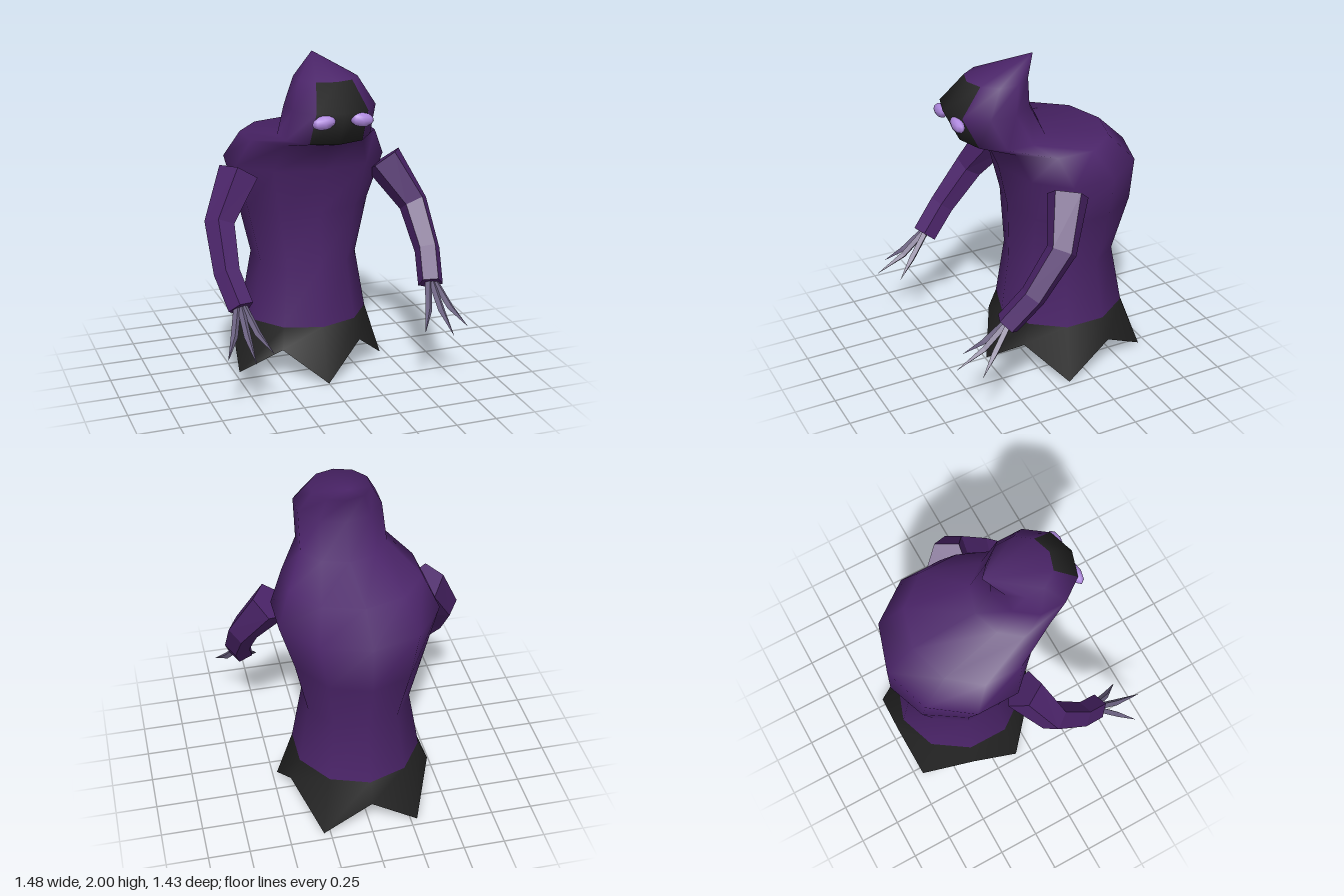
import * as THREE from 'three';

const SIDES = 10;
const mat = (name, color) => {
  const m = new THREE.MeshStandardMaterial({ color });
  m.name = name;
  return m;
};

// Robe cross-sections: height, half width radius, centre z, front z, back z
const RINGS = [
  [0.33, 0.39, -0.25, 0.13, -0.67],
  [0.70, 0.325, -0.25, 0.08, -0.60],
  [1.05, 0.405, -0.25, 0.085, -0.705],
  [1.33, 0.494, -0.22, 0.145, -0.705],
  [1.50, 0.41, -0.16, 0.22, -0.53],
  [1.55, 0.272, 0.13, 0.39, -0.13],
  [1.75, 0.263, 0.23, 0.49, -0.03],
  [1.90, 0.184, 0.155, 0.34, -0.03],
];

function ringPoint([y, rx, zc, front, back], k) {
  const a = (k % SIDES) * Math.PI * 2 / SIDES;
  const c = Math.cos(a);
  return [rx * Math.sin(a), y, zc + c * (c > 0 ? front - zc : zc - back)];
}

function geometryFrom(positions, index) {
  const g = new THREE.BufferGeometry();
  g.setAttribute('position', new THREE.Float32BufferAttribute(positions, 3));
  if (index) g.setIndex(index);
  g.computeVertexNormals();
  return g;
}

// Smooth robe and hood; the two front columns of the hood are the dark face
function robeGeometry() {
  const pos = [], cloth = [], face = [];
  for (const r of RINGS) for (let k = 0; k < SIDES; k++) pos.push(...ringPoint(r, k));
  const last = RINGS.length - 1;
  for (let i = 0; i < last; i++) {
    for (let k = 0; k < SIDES; k++) {
      const n = (k + 1) % SIDES, a = i * SIDES, b = a + SIDES;
      const isFace = i >= 5 && (k === 0 || k === SIDES - 1);
      (isFace ? face : cloth).push(a + k, a + n, b + n, a + k, b + n, b + k);
    }
  }
  // Pointed hood tip
  const tip = pos.length / 3;
  pos.push(0, 2, -0.08);
  for (let k = 0; k < SIDES; k++) {
    cloth.push(last * SIDES + k, last * SIDES + (k + 1) % SIDES, tip);
  }
  const g = geometryFrom(pos, [...cloth, ...face]);
  g.addGroup(0, cloth.length, 0);
  g.addGroup(cloth.length, face.length, 1);
  return g;
}

// Flat underside of the robe
function undersideGeometry() {
  const pos = [];
  for (let k = 0; k < SIDES; k++) {
    pos.push(0, 0.33, -0.26, ...ringPoint(RINGS[0], k + 1), ...ringPoint(RINGS[0], k));
  }
  return geometryFrom(pos);
}

// Ragged hem: alternating tips and notches from front to back, mirrored
function hemGeometry() {
  const half = [
    [0, 0, 0.24], [0.25, 0.2, 0.1], [0.47, 0, -0.1],
    [0.43, 0.2, -0.39], [0.29, 0, -0.7], [0, 0.2, -0.72],
  ];
  const pos = [], index = [];
  for (let k = 0; k < SIDES; k++) {
    const [x, y, z] = half[k <= 5 ? k : SIDES - k];
    pos.push(k <= 5 ? x : -x, y, z);
  }
  for (let k = 0; k < SIDES; k++) pos.push(...ringPoint(RINGS[0], k));
  for (let k = 0; k < SIDES; k++) {
    const n = (k + 1) % SIDES;
    index.push(k, n, SIDES + n, k, SIDES + n, SIDES + k);
  }
  return geometryFrom(pos, index);
}

// Faceted tapering limb along [x, y, z, radius] stations, closed at both ends
function limbGeometry(stations, sides, mirror) {
  const pts = stations.map(([x, y, z]) => new THREE.Vector3(x * mirror, y, z));
  const rings = pts.map((p, i) => {
    const t = pts[Math.min(i + 1, pts.length - 1)].clone()
      .sub(pts[Math.max(i - 1, 0)]).normalize();
    const u = new THREE.Vector3(mirror, 0, 0);
    u.addScaledVector(t, -u.dot(t)).normalize();
    const v = t.clone().cross(u);
    return Array.from({ length: sides }, (_, k) => {
      const a = k / sides * Math.PI * 2, r = stations[i][3];
      return p.clone().addScaledVector(u, r * Math.cos(a)).addScaledVector(v, r * Math.sin(a));
    });
  });
  const pos = [];
  const tri = (...vs) => vs.forEach((v) => pos.push(v.x, v.y, v.z));
  const end = pts.length - 1;
  for (let k = 0; k < sides; k++) {
    const n = (k + 1) % sides;
    for (let i = 0; i < end; i++) {
      tri(rings[i][k], rings[i][n], rings[i + 1][n]);
      tri(rings[i][k], rings[i + 1][n], rings[i + 1][k]);
    }
    tri(pts[0], rings[0][n], rings[0][k]);
    tri(pts[end], rings[end][k], rings[end][n]);
  }
  return geometryFrom(pos);
}

export function createModel() {
  const purple = mat('purple cloth', 0x4b2469);
  const black = mat('black cloth', 0x222222);
  black.side = THREE.DoubleSide;
  const lavender = mat('lavender eye', 0xae88de);
  const grey = mat('grey claw', 0x6c6282);

  const model = new THREE.Group();
  model.name = 'hoodedFigure';
  const add = (name, geometry, material, parent = model) => {
    const mesh = new THREE.Mesh(geometry, material);
    mesh.name = name;
    parent.add(mesh);
    return mesh;
  };

  add('robeAndHood', robeGeometry(), [purple, black]);
  add('robeUnderside', undersideGeometry(), purple);
  add('raggedHem', hemGeometry(), black);

  for (const s of [1, -1]) {
    const side = s > 0 ? 'left' : 'right';

    // Glowing eye, drooping outward
    const eye = add(side + 'Eye', new THREE.SphereGeometry(1, 8, 6), lavender);
    eye.scale.set(0.071, 0.041, 0.035);
    eye.position.set(s * 0.113, 1.702, 0.452);
    eye.rotation.z = -s * 0.14;

    // Bent sleeve
    const arm = new THREE.Group();
    arm.name = side + 'Arm';
    model.add(arm);
    add(side + 'Sleeve', limbGeometry([
      [0.46, 1.3, -0.07, 0.125],
      [0.615, 1.04, 0.05, 0.093],
      [0.63, 0.8, 0.24, 0.08],
      [0.592, 0.635, 0.385, 0.078],
    ], 5, s), purple, arm);

    // Three spread claws
    for (const f of [-1, 0, 1]) {
      const reach = f === 0 ? 0.1 : 0;
      add(side + 'Claw', limbGeometry([
        [0.597 + f * 0.02, 0.645, 0.39, 0.022],
        [0.6 + f * 0.07, 0.515, 0.505 + reach * 0.3, 0.021],
        [0.602 + f * 0.135, 0.425, 0.61 + reach, 0.001],
      ], 4, s), grey, arm);
    }
  }
  return model;
}
